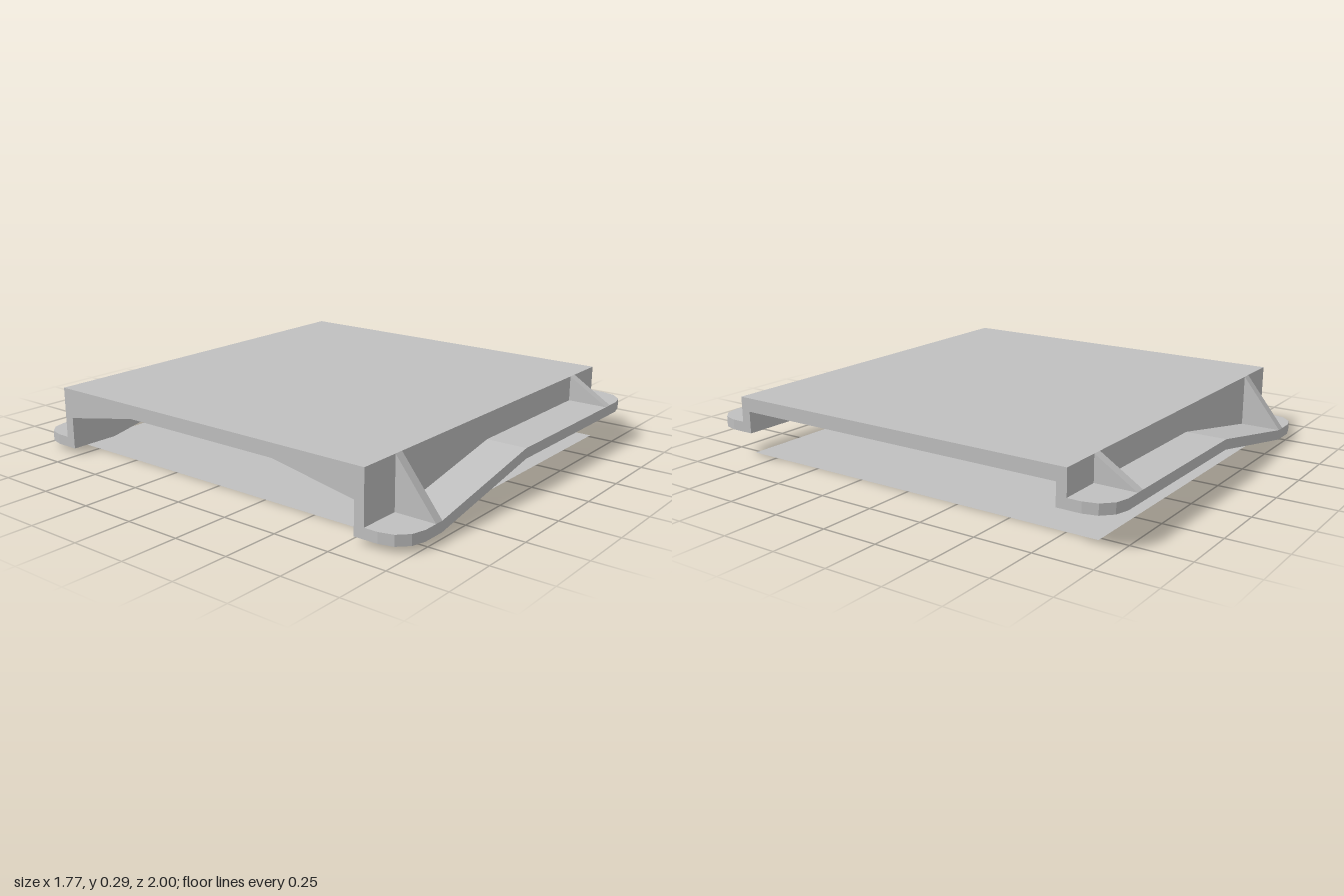
import * as THREE from 'three';

const HX = 0.885, TOP = 0.295, CEIL = 0.235; // half length, deck top, deck underside
const Z_IN = 0.775, Z_WALL = 0.82, Z_OUT = 1; // inner wall, outer wall, flange edge
const LIP = 0.045, R = 0.12; // flange thickness and corner radius

// Underside of the stepped flange along x: low, ramp, high
function underside(x) {
  const t = THREE.MathUtils.clamp((x + 0.66) / 0.6, 0, 1);
  return THREE.MathUtils.lerp(0.025, 0.138, t);
}

function extrude(points, depth) {
  const shape = new THREE.Shape(points.map(([x, y]) => new THREE.Vector2(x, y)));
  return new THREE.ExtrudeGeometry(shape, { depth, bevelEnabled: false });
}

// Thin plate in the z-y plane, centred on x
function crossPlate(points, x, width) {
  return extrude(points, width).rotateY(-Math.PI / 2).translate(x + width / 2, 0, 0);
}

// Flange with rounded outer corners, lofted from rectangular sections along x
function flangeGeometry(side) {
  const corner = [0, 1, 2, 3].map((i) => {
    const a = (i * Math.PI) / 6;
    return [HX - R * (1 - Math.cos(a)), Z_OUT - R * (1 - Math.sin(a))];
  });
  const stations = [
    ...corner.map(([x, z]) => [-x, z]),
    [-0.66, Z_OUT], [-0.06, Z_OUT],
    ...corner.slice().reverse(),
  ];
  const positions = [], index = [];
  const tri = (a, b, c) => (side > 0 ? index.push(a, b, c) : index.push(a, c, b));
  stations.forEach(([x, z]) => {
    const y = underside(x);
    positions.push(x, y, side * Z_WALL, x, y + LIP, side * Z_WALL, x, y + LIP, side * z, x, y, side * z);
  });
  for (let s = 0; s < stations.length - 1; s++) {
    for (let i = 0; i < 4; i++) {
      const a = s * 4 + i, b = s * 4 + ((i + 1) % 4);
      tri(a, b, b + 4);
      tri(a, b + 4, a + 4);
    }
  }
  const e = (stations.length - 1) * 4;
  tri(0, 2, 1); tri(0, 3, 2);
  tri(e, e + 1, e + 2); tri(e, e + 2, e + 3);
  const indexed = new THREE.BufferGeometry();
  indexed.setAttribute('position', new THREE.Float32BufferAttribute(positions, 3));
  indexed.setIndex(index);
  const geometry = indexed.toNonIndexed();
  geometry.computeVertexNormals();
  return geometry;
}

export function createModel() {
  const model = new THREE.Group();
  model.name = 'mountingBracket';
  const grey = new THREE.MeshStandardMaterial({ color: 0xc0c0c0, side: THREE.DoubleSide });
  grey.name = 'light grey';

  const add = (name, geometry) => {
    const mesh = new THREE.Mesh(geometry, grey);
    mesh.name = name;
    model.add(mesh);
  };

  // Flat deck between the side walls
  add('deck', new THREE.BoxGeometry(HX * 2, TOP - CEIL, Z_IN * 2).translate(0, (TOP + CEIL) / 2, 0));

  // Thin sheet on the ground below
  add('baseSheet', new THREE.PlaneGeometry(1.54, 1.77).rotateX(-Math.PI / 2));

  for (const side of [1, -1]) {
    const label = side > 0 ? 'front' : 'back';

    // Wall following the stepped underside
    const lower = [-HX, -0.66, -0.06, HX].map((x) => [x, underside(x)]);
    const wall = extrude([...lower, [HX, TOP], [-HX, TOP]], Z_WALL - Z_IN);
    add(label + 'Wall', wall.translate(0, 0, side > 0 ? Z_IN : -Z_WALL));

    add(label + 'Flange', flangeGeometry(side));

    // Sloping braces from the wall down to the flange edge
    for (const x of [-0.68, 0.68]) {
      const y = underside(x) + LIP;
      const brace = [[side * Z_WALL, y], [side * Z_OUT, y], [side * Z_WALL, TOP]];
      add(label + (x < 0 ? 'RightBrace' : 'LeftBrace'), crossPlate(brace, x, 0.04));
    }

    // Inner haunch under the deck at the low end
    const haunch = [[side * Z_IN, CEIL], [side * 0.39, CEIL], [side * Z_IN, 0.165]];
    add(label + 'Haunch', crossPlate(haunch, -HX + 0.02, 0.04));
  }

  return model;
}
